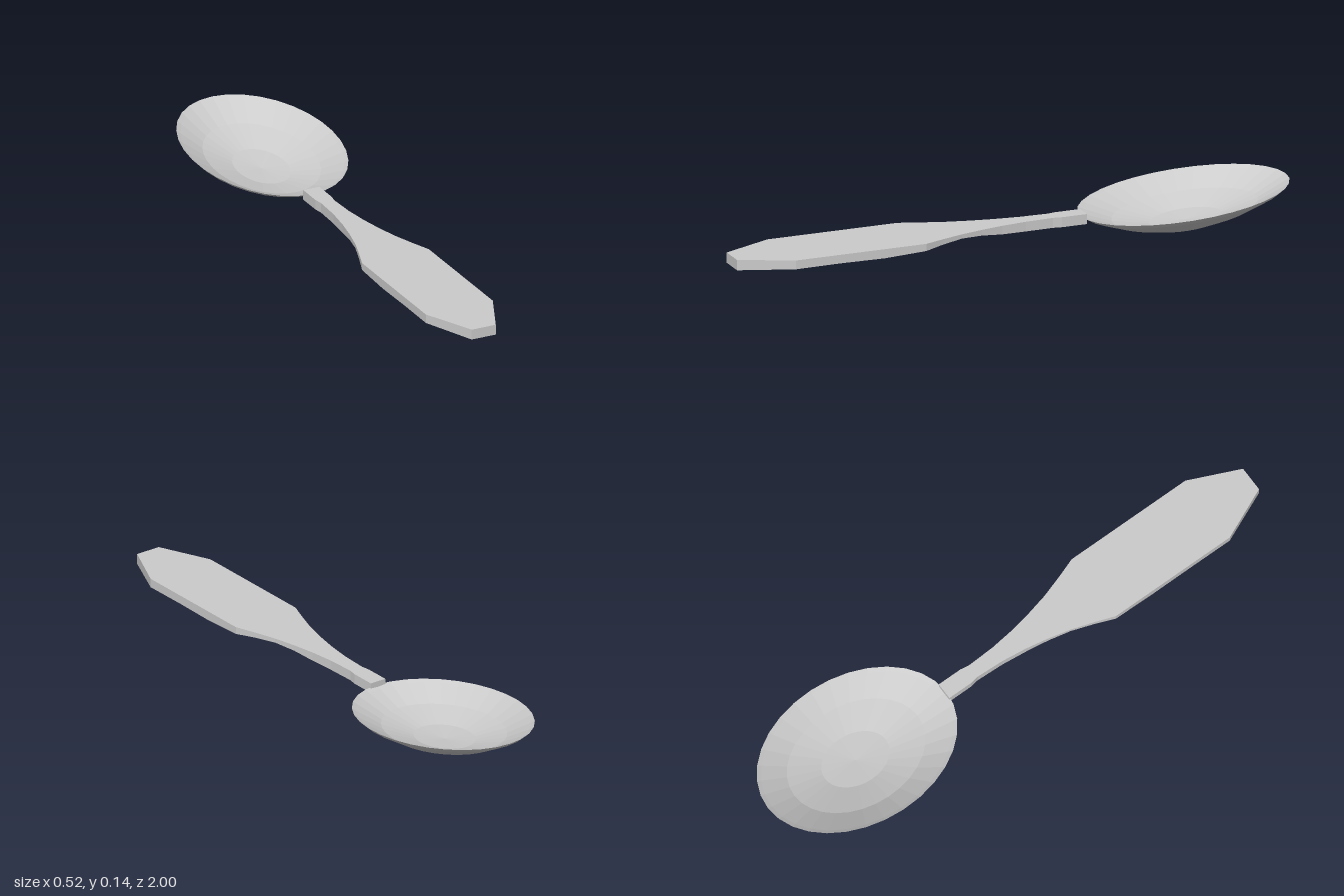
import * as THREE from 'three';

const material = new THREE.MeshStandardMaterial({ color: 0xcccccc, flatShading: true });

// Oval bowl: a closed shell turned from a faceted profile, stretched and tilted
function createBowl() {
  const profile = [
    [0, -0.1], [0.36, -0.094], [0.66, -0.061], [0.94, -0.016], [1, 0], // underside
    [0.955, -0.008], [0.69, -0.05], [0.34, -0.08], [0, -0.087],        // inside
  ].map(([r, y]) => new THREE.Vector2(r, y));
  const bowl = new THREE.Mesh(new THREE.LatheGeometry(profile, 32), material);
  bowl.name = 'bowl';
  bowl.scale.set(0.262, 1, 0.37);
  bowl.rotation.x = 0.085;
  bowl.position.set(0, 0.104, -0.63);
  return bowl;
}

// Flat handle lofted along z through five-cornered sections
function createHandle() {
  const top = 0.09;
  // z, half width, underside edge height, underside middle height
  const sections = [
    [-0.27, 0.03, 0.055, 0.055], [-0.18, 0.03, 0.055, 0.055],
    [-0.15, 0.025, 0.055, 0.055], [-0.05, 0.029, 0.056, 0.056],
    [0.04, 0.04, 0.06, 0.06], [0.12, 0.055, 0.07, 0.07],
    [0.2, 0.074, 0.075, 0.075], [0.28, 0.1, 0.071, 0.074],
    [0.35, 0.125, 0.065, 0.071], [0.5, 0.125, 0.058, 0.068],
    [0.66, 0.125, 0.06, 0.067], [0.82, 0.125, 0.059, 0.064],
    [1, 0.045, 0.054, 0.054],
  ];
  const positions = [];
  const index = [];
  const n = 5;
  for (const [z, w, edge, middle] of sections) {
    positions.push(-w, top, z, -w, edge, z, 0, middle, z, w, edge, z, w, top, z);
  }
  for (let s = 0; s < sections.length - 1; s++) {
    for (let k = 0; k < n; k++) {
      const a = s * n + k, b = s * n + (k + 1) % n;
      index.push(a, b, b + n, a, b + n, a + n);
    }
  }
  // End caps
  const last = (sections.length - 1) * n;
  for (let k = 1; k < n - 1; k++) {
    index.push(0, k + 1, k, last, last + k, last + k + 1);
  }
  const geometry = new THREE.BufferGeometry();
  geometry.setAttribute('position', new THREE.Float32BufferAttribute(positions, 3));
  geometry.setIndex(index);
  const flat = geometry.toNonIndexed();
  flat.computeVertexNormals();
  const handle = new THREE.Mesh(flat, material);
  handle.name = 'handle';
  return handle;
}

export function createModel() {
  const spoon = new THREE.Group();
  spoon.name = 'spoon';
  spoon.add(createBowl(), createHandle());
  return spoon;
}
